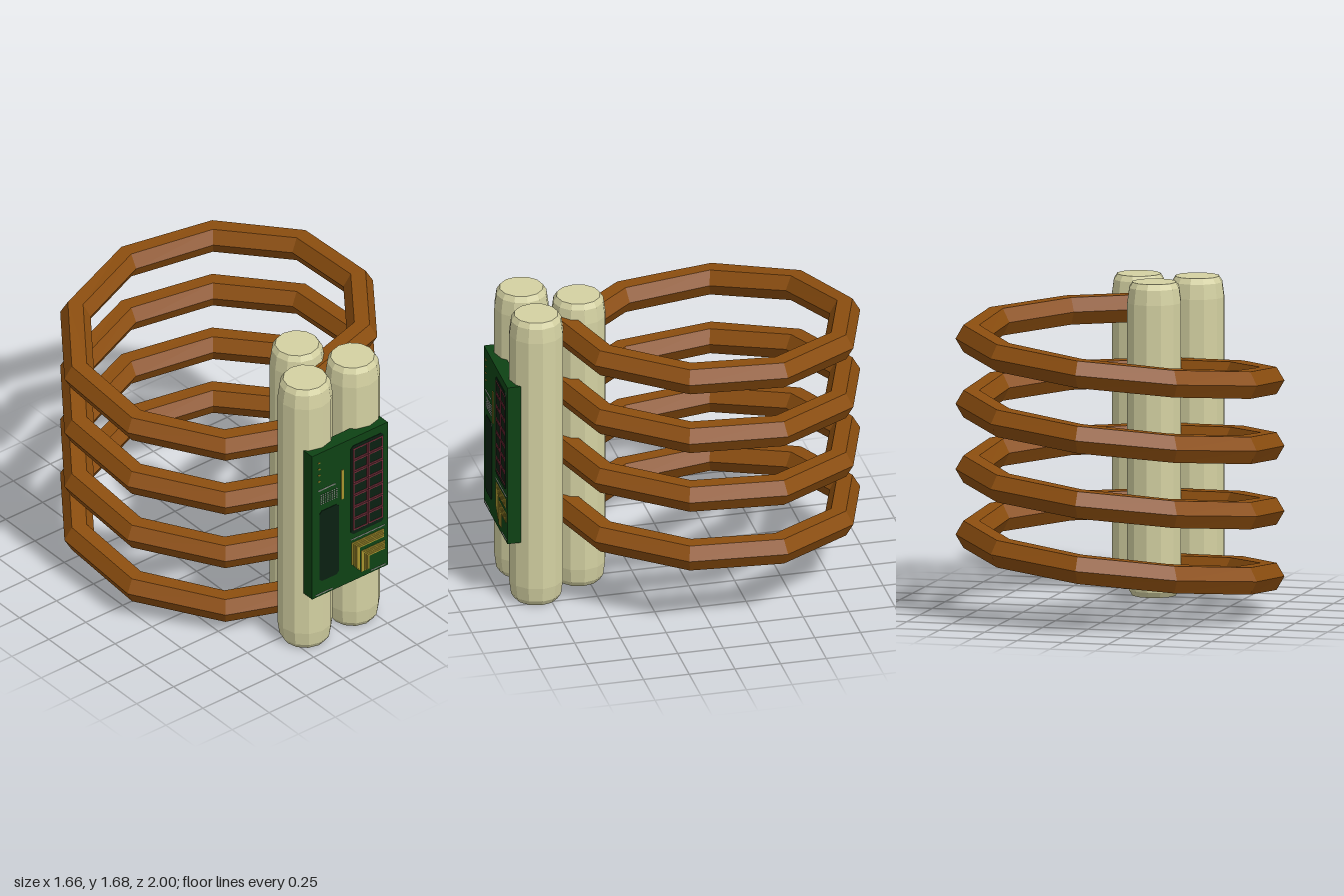
import * as THREE from 'three';
import { mergeGeometries } from 'three/addons/utils/BufferGeometryUtils.js';

const mat = (name, color) => new THREE.MeshStandardMaterial({ name, color });

// Faceted normals for a geometry
function faceted(g) {
  const f = g.index ? g.toNonIndexed() : g;
  f.computeVertexNormals();
  return f;
}

// Hexagonal tube swept down a ten-sided helix
function coilGeometry() {
  const R = 0.789, r = 0.084, cz = -0.127, turns = 4, steps = 10, sides = 6;
  const n = turns * steps, pos = [], idx = [];
  for (let i = 0; i <= n; i++) {
    const a = (i / steps) * Math.PI * 2;
    const y = 1.53 - 0.35 * i / steps + 0.025 * Math.sin(a) + 0.02 * (1 - Math.cos(a));
    for (let j = 0; j < sides; j++) {
      const p = (j / sides) * Math.PI * 2, d = R + r * Math.cos(p);
      pos.push(d * Math.sin(a), y + r * Math.sin(p), cz + d * Math.cos(a));
    }
  }
  for (let i = 0; i < n; i++) for (let j = 0; j < sides; j++) {
    const k = (j + 1) % sides, a = i * sides, b = a + sides;
    idx.push(a + j, b + j, b + k, a + j, b + k, a + k);
  }
  // End caps
  for (let j = 1; j < sides - 1; j++) {
    const e = n * sides;
    idx.push(0, j, j + 1, e, e + j + 1, e + j);
  }
  const g = new THREE.BufferGeometry();
  g.setAttribute('position', new THREE.Float32BufferAttribute(pos, 3));
  g.setIndex(idx);
  return faceted(g);
}

export function createModel() {
  const model = new THREE.Group();
  model.name = 'coilDevice';
  const copper = mat('copper brown', 0x8c4e0f);
  const cream = mat('cream', 0xd4d1a2);
  const green = mat('board green', 0x0e4214);
  const dark = mat('dark green', 0x0a2011);
  const red = mat('dull red', 0x80303f);
  const gold = mat('gold', 0xa8942e);
  const silver = mat('silver', 0xb4b8b0);

  const add = (name, geo, material, parent = model) => {
    const m = new THREE.Mesh(geo, material);
    m.name = name;
    parent.add(m);
    return m;
  };

  add('coil', coilGeometry(), copper);

  // Three upright rods with rounded ends
  const profile = [[0, 0], [0.118, 0], [0.137, 0.03], [0.148, 0.11],
    [0.148, 1.57], [0.137, 1.65], [0.118, 1.68], [0, 1.68]]
    .map(([x, y]) => new THREE.Vector2(x, y));
  const rodGeo = faceted(new THREE.LatheGeometry(profile, 12));
  [['leftRod', 0.161, 0.813], ['rightRod', -0.161, 0.813], ['backRod', 0, 0.542]]
    .forEach(([name, x, z]) => add(name, rodGeo, cream).position.set(x, 0, z));

  // Circuit board
  const board = new THREE.Group();
  board.name = 'circuitBoard';
  model.add(board);
  const slab = new THREE.BoxGeometry(0.512, 0.93, 0.079);
  slab.translate(0, 0.84, 0.9545);
  add('boardSlab', slab, green, board);

  // Thin plate from x0,y0 to x1,y1 with its front at z
  const plate = (x0, y0, x1, y1, z = 0.998) => {
    const g = new THREE.BoxGeometry(x1 - x0, y1 - y0, z - 0.993);
    g.translate((x0 + x1) / 2, (y0 + y1) / 2, (z + 0.993) / 2);
    return g;
  };
  const addPlates = (name, list, material) => add(name, mergeGeometries(list), material, board);

  // Dark panels with cut corners
  const panel = (x0, y0, x1, y1, c) => {
    const s = new THREE.Shape();
    [[x0 + c, y0], [x1 - c, y0], [x1, y0 + c], [x1, y1 - c], [x1 - c, y1], [x0 + c, y1], [x0, y1 - c], [x0, y0 + c]]
      .forEach(([x, y], i) => (i ? s.lineTo(x, y) : s.moveTo(x, y)));
    const g = new THREE.ExtrudeGeometry(s, { depth: 0.004, bevelEnabled: false });
    g.translate(0, 0, 0.993);
    return g;
  };
  addPlates('darkPanels', [panel(0.005, 0.68, 0.226, 1.255, 0.015),
    panel(-0.207, 0.469, -0.078, 0.925, 0.015)], dark);

  // Two columns of seven red frames
  const frames = [];
  for (let c = 0; c < 2; c++) for (let k = 0; k < 7; k++) {
    const x0 = 0.018 + c * 0.102, x1 = x0 + 0.098, y0 = 0.705 + k * 0.0765, y1 = y0 + 0.072, t = 0.007;
    frames.push(plate(x0, y0, x1, y0 + t, 1), plate(x0, y1 - t, x1, y1, 1),
      plate(x0, y0 + t, x0 + t, y1 - t, 1), plate(x1 - t, y0 + t, x1, y1 - t, 1));
  }
  addPlates('redFrames', frames, red);

  // Gold traces: a bar, pin marks and two nested bundles of bent lines
  const traces = [plate(-0.06, 0.942, -0.043, 1.13)];
  for (let k = 0; k < 4; k++) traces.push(plate(-0.215, 1.12 + k * 0.04, -0.203, 1.127 + k * 0.04));
  for (let k = 0; k < 5; k++) {
    const d = k * 0.011, w = 0.0085;
    traces.push(plate(0.012 + d, 0.625 - d - w, 0.226, 0.625 - d),
      plate(0.012 + d, 0.43 + (4 - k) * 0.013, 0.012 + d + w, 0.625 - d - w));
    traces.push(plate(0.075 + d, 0.545 - d - w, 0.235, 0.545 - d),
      plate(0.075 + d, 0.41, 0.075 + d + w, 0.545 - d - w));
  }
  addPlates('goldTraces', traces, gold);

  // Fine pale lines and a grid of solder dots
  const fine = [plate(-0.215, 1.06, -0.1, 1.065), plate(0.005, 0.645, 0.235, 0.649),
    plate(-0.235, 0.388, -0.12, 0.392), plate(0.14, 0.388, 0.24, 0.392)];
  for (let i = 0; i < 8; i++) for (let j = 0; j < 5; j++) {
    const x = -0.2 + i * 0.015, y = 0.968 + j * 0.014;
    fine.push(plate(x, y, x + 0.006, y + 0.006));
  }
  addPlates('solderDots', fine, silver);

  return model;
}
